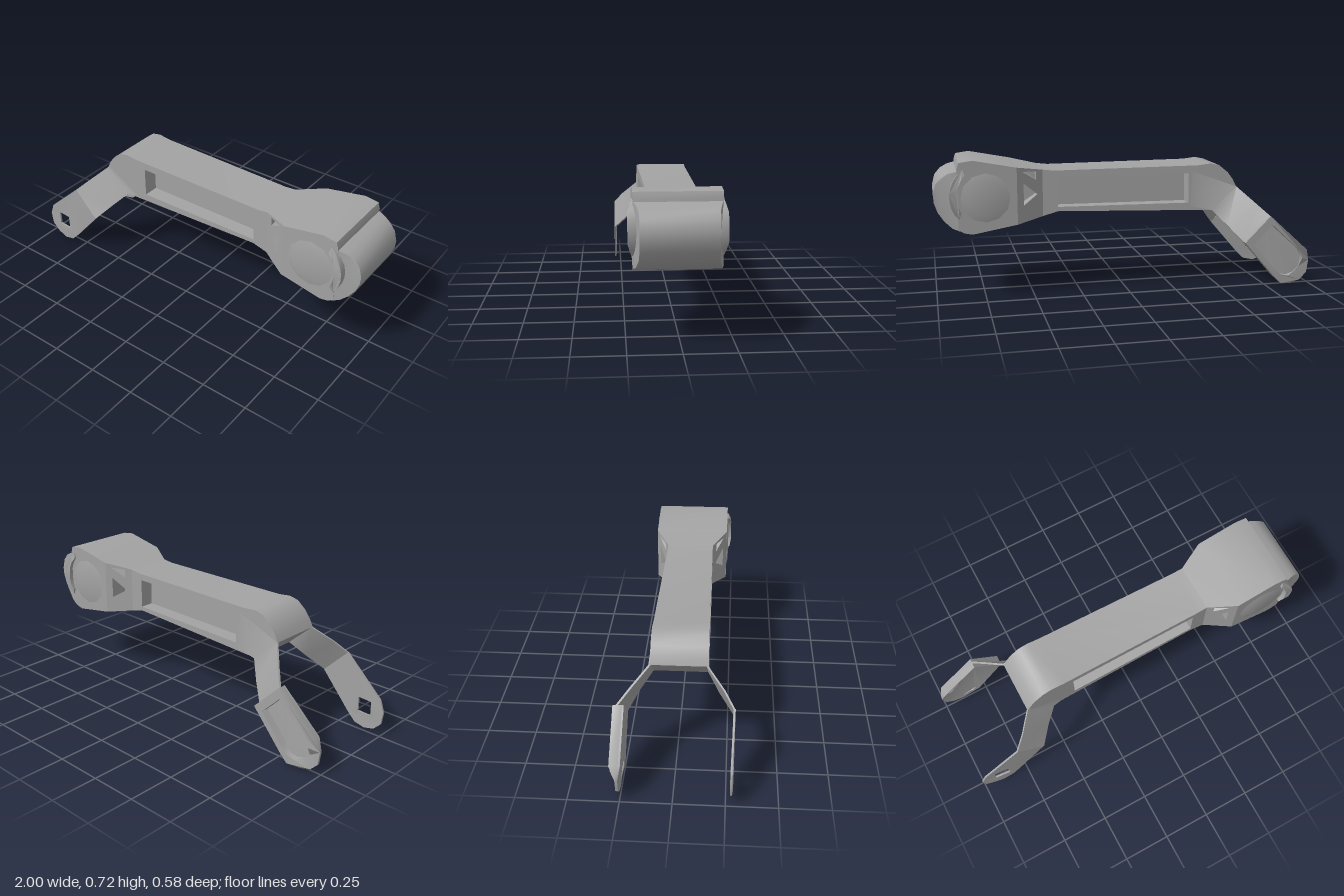
import * as THREE from 'three';
import { toCreasedNormals } from 'three/addons/utils/BufferGeometryUtils.js';

const grey = new THREE.MeshStandardMaterial({ color: 0xa3a3a3, side: THREE.DoubleSide });
grey.name = 'grey';

const vec = (pts) => pts.map(([x, y]) => new THREE.Vector2(x, y));

// Extrude an outline (with holes), then place its back and front caps at z = back(x) and front(x)
function slab(name, outline, back, front, holes = []) {
  const shape = new THREE.Shape(vec(outline));
  for (const h of holes) shape.holes.push(new THREE.Path(vec(h)));
  const geo = new THREE.ExtrudeGeometry(shape, { depth: 1, bevelEnabled: false });
  const p = geo.attributes.position;
  for (let i = 0; i < p.count; i++) {
    const x = p.getX(i), y = p.getY(i);
    p.setZ(i, p.getZ(i) > 0.5 ? front(x, y) : back(x, y));
  }
  return mesh(name, geo);
}

function mesh(name, geo) {
  const m = new THREE.Mesh(toCreasedNormals(geo, 0.6), grey);
  m.name = name;
  return m;
}

// Thin bent strip through pairs of upper and lower edge points
function strip(name, pairs, thickness) {
  const pos = [], idx = [];
  for (const [a, b] of pairs) {
    pos.push(...a, ...b, b[0], b[1], b[2] - thickness, a[0], a[1], a[2] - thickness);
  }
  for (let i = 0; i < pairs.length - 1; i++) {
    for (let j = 0; j < 4; j++) {
      const a = i * 4 + j, b = i * 4 + (j + 1) % 4;
      idx.push(a, a + 4, b, b, a + 4, b + 4);
    }
  }
  const geo = new THREE.BufferGeometry();
  geo.setAttribute('position', new THREE.Float32BufferAttribute(pos, 3));
  geo.setIndex(idx);
  return mesh(name, geo);
}

const lerp = THREE.MathUtils.lerp;
const at = (z) => () => z;

export function createModel() {
  const model = new THREE.Group();
  model.name = 'linkArm';

  // Long beam with a rectangular recess on each side
  const beamT = (x) => (x + 0.62) / 1.06;
  const window = [[-0.35, 0.45], [0.36, 0.455], [0.36, 0.612], [-0.35, 0.61]];
  model.add(slab('beam', [
    [-0.48, 0.405], [0.36, 0.432], [0.44, 0.41], [0.44, 0.655], [0.38, 0.648], [-0.4, 0.652],
    [-0.47, 0.66], [-0.52, 0.65], [-0.57, 0.61], [-0.6, 0.57], [-0.62, 0.53],
  ], (x) => lerp(-0.13, -0.118, beamT(x)), (x) => lerp(0.152, 0.138, beamT(x)), [window]));
  model.add(slab('beamWeb', [[-0.36, 0.44], [0.37, 0.44], [0.37, 0.62], [-0.36, 0.62]], at(-0.045), at(0.065)));

  // Flared neck with small triangular pockets
  const neckT = (x) => (x - 0.44) / 0.14;
  model.add(slab('neck', [[0.44, 0.41], [0.58, 0.385], [0.58, 0.68], [0.44, 0.655]],
    (x) => lerp(-0.118, -0.19, neckT(x)), (x) => lerp(0.138, 0.215, neckT(x)),
    [[[0.47, 0.53], [0.545, 0.48], [0.545, 0.595]], [[0.475, 0.605], [0.55, 0.655], [0.475, 0.65]]]));
  model.add(slab('neckCore', [[0.45, 0.45], [0.57, 0.45], [0.57, 0.66], [0.45, 0.65]], at(-0.08), at(0.1)));

  // Head block and the narrower rounded nose
  model.add(slab('head', [
    [0.58, 0.385], [0.81, 0.344], [0.85, 0.352], [0.88, 0.37], [0.88, 0.68], [0.87, 0.712], [0.8, 0.722], [0.58, 0.68],
  ], at(-0.19), at(0.216)));
  model.add(slab('nose', [
    [0.87, 0.362], [0.91, 0.378], [0.95, 0.415], [0.98, 0.46], [0.997, 0.51], [1, 0.55],
    [0.985, 0.605], [0.955, 0.64], [0.92, 0.658], [0.87, 0.67],
  ], (x) => lerp(-0.19, -0.165, Math.min(1, (x - 0.87) / 0.09)),
  (x) => lerp(0.216, 0.19, Math.min(1, (x - 0.87) / 0.09))));

  // Crescent lip and shallow disc on both sides of the head
  const crescent = [];
  for (let i = 0; i <= 8; i++) {
    const a = lerp(-0.75, 0.95, i / 8);
    crescent.push([0.75 + 0.172 * Math.cos(a), 0.54 + 0.172 * Math.sin(a)]);
  }
  for (let i = 7; i > 0; i--) {
    const a = lerp(-0.75, 0.95, i / 8);
    crescent.push([0.72 + 0.165 * Math.cos(a), 0.54 + 0.165 * Math.sin(a)]);
  }
  const lip = (x, y) => 0.24 - 0.3 * Math.max(0, Math.abs(y - 0.55) - 0.07);
  model.add(slab('frontLip', crescent, at(0.19), lip));
  model.add(slab('rearLip', crescent, (x, y) => 0.03 - lip(x, y), at(-0.165)));
  for (const [name, z] of [['frontDisc', 0.216], ['rearDisc', -0.19]]) {
    const s = Math.sign(z);
    const disc = mesh(name, new THREE.CylinderGeometry(0.09, 0.135, 0.01, 12));
    disc.rotation.x = s * Math.PI / 2;
    disc.position.set(0.74, 0.53, z + s * 0.003);
    model.add(disc);
  }

  // Front fork: bent strip ending in a flat lug with a square hole
  model.add(strip('frontForkBend', [
    [[-0.37, 0.62, 0.142], [-0.36, 0.43, 0.142]],
    [[-0.62, 0.53, 0.153], [-0.48, 0.405, 0.157]],
    [[-0.7, 0.45, 0.236], [-0.55, 0.33, 0.215]],
    [[-0.76, 0.39, 0.284], [-0.62, 0.25, 0.288]],
  ], 0.01));
  const lug = [
    [-0.76, 0.39], [-0.975, 0.195], [-1, 0.13], [-0.99, 0.06], [-0.95, 0.02], [-0.89, 0.002],
    [-0.83, 0.015], [-0.785, 0.06], [-0.62, 0.25],
  ];
  const lugFront = (x, y) => 0.286 - (x < -0.9 ? 0.006 : 0);
  model.add(slab('frontForkLug', lug, (x, y) => lugFront(x, y) - 0.01, lugFront,
    [[[-0.925, 0.085], [-0.845, 0.085], [-0.845, 0.165], [-0.925, 0.165]]]));

  // Rear fork: bent strip ending in a tray that opens outward
  model.add(strip('rearForkBend', [
    [[-0.37, 0.62, -0.115], [-0.36, 0.43, -0.115]],
    [[-0.62, 0.53, -0.125], [-0.48, 0.405, -0.125]],
    [[-0.7, 0.45, -0.21], [-0.55, 0.33, -0.19]],
    [[-0.76, 0.39, -0.27], [-0.62, 0.25, -0.245]],
  ], 0.012));
  const trayHole = lug.map(([x, y]) => [-0.81 + (x + 0.81) * 0.74, 0.2 + (y - 0.2) * 0.74]);
  const trayInner = (x, y) => (x + y < -0.8 ? -0.255 : -0.243);
  const trayOuter = (x, y) => (x + y < -0.83 ? -0.268 : -0.297);
  model.add(slab('rearForkPlate', lug, (x, y) => trayInner(x, y) - 0.01, trayInner));
  model.add(slab('rearForkRim', lug, trayOuter, (x, y) => trayInner(x, y) - 0.005, [trayHole]));

  return model;
}
